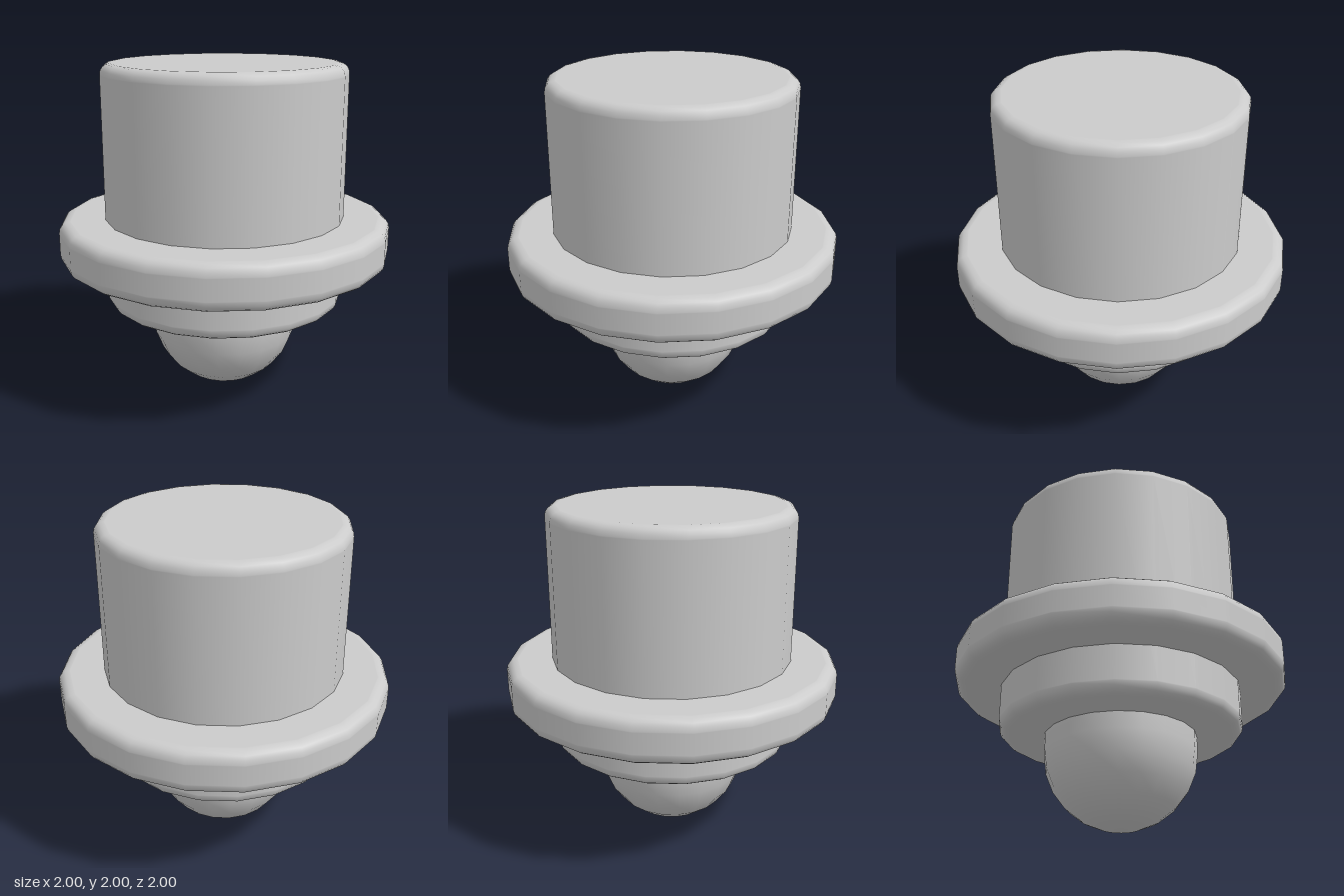
import * as THREE from 'three';

const SIDES = 20;
const material = new THREE.MeshStandardMaterial({ color: 0xcccccc });

function lathe(name, profile) {
  const mesh = new THREE.Mesh(new THREE.LatheGeometry(profile, SIDES), material);
  mesh.name = name;
  return mesh;
}

// Quarter arc from startAngle, counter-clockwise in the (radius, height) plane
function arc(cx, cy, r, startAngle, steps) {
  return Array.from({ length: steps + 1 }, (_, i) => {
    const a = startAngle + (i / steps) * (Math.PI / 2);
    return new THREE.Vector2(Math.max(0, cx + r * Math.cos(a)), cy + r * Math.sin(a));
  });
}

// Solid disc with rounded rims; the extra points keep caps and wall flat-shaded
function roundedDisc(name, radius, bottom, top, bevel) {
  const e = 0.006;
  const inner = radius - bevel;
  return lathe(name, [
    new THREE.Vector2(0, bottom),
    new THREE.Vector2(inner - e, bottom),
    ...arc(inner, bottom + bevel, bevel, -Math.PI / 2, 4),
    new THREE.Vector2(radius, bottom + bevel + e),
    new THREE.Vector2(radius, top - bevel - e),
    ...arc(inner, top - bevel, bevel, 0, 4),
    new THREE.Vector2(inner - e, top),
    new THREE.Vector2(0, top),
  ]);
}

export function createModel() {
  const model = new THREE.Group();
  model.name = 'flangedPlunger';

  // Main cylinder and the collar around it
  model.add(roundedDisc('body', 0.725, 0.55, 2, 0.06));
  model.add(roundedDisc('collar', 1, 0.82, 1.085, 0.065));

  // Domed tip, running straight up into the body
  model.add(lathe('tip', [
    ...arc(0, 0.453, 0.453, -Math.PI / 2, 6),
    new THREE.Vector2(0.453, 0.6),
  ]));

  return model;
}
